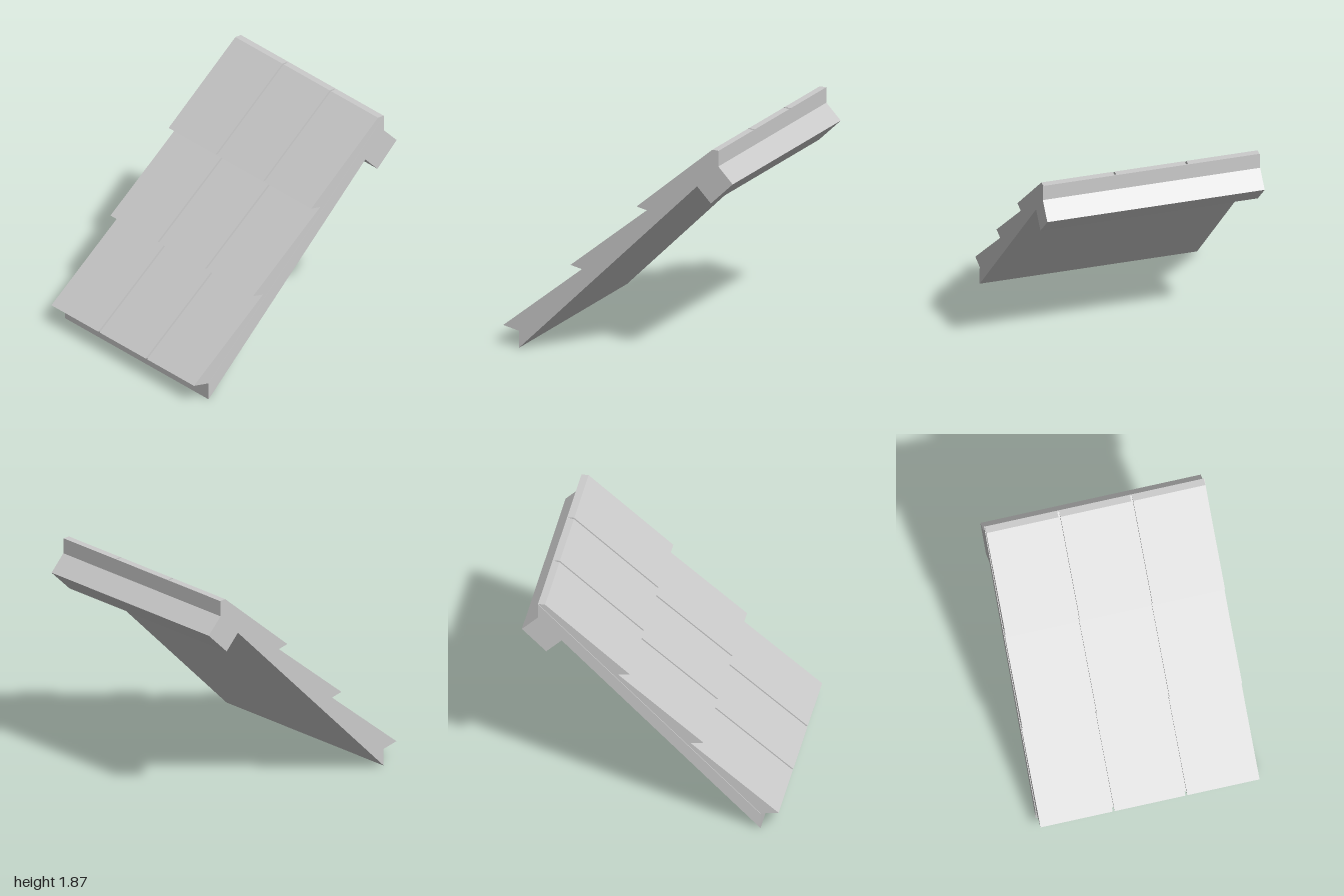
import * as THREE from 'three';

const material = new THREE.MeshStandardMaterial({ color: 0xcccccc, flatShading: true });

// Extrudes a side profile of [z, y] points across x, from x0 to x1.
function slab(name, profile, x0, x1) {
  const shape = new THREE.Shape(profile.map(([z, y]) => new THREE.Vector2(z, y)));
  const geometry = new THREE.ExtrudeGeometry(shape, { depth: x1 - x0, bevelEnabled: false });
  geometry.rotateY(-Math.PI / 2);
  geometry.translate(x1, 0, 0);
  const mesh = new THREE.Mesh(geometry, material);
  mesh.name = name;
  return mesh;
}

// Wedge resting on the 45 degree deck; inset pulls its lip back under the tile edge.
function wedge([z, y], end, inset) {
  const lip = [z - inset, y - 0.18 * inset];
  const foot = [z - 0.14, y - 0.025];
  return [lip, foot, ...end];
}

export function createModel() {
  const roof = new THREE.Group();
  roof.name = 'roofSection';

  // Sloping deck with the ridge beam hanging from its upper end
  roof.add(slab('deck', [
    [0.86, 0], [0.86, 0.135], [-0.875, 1.87], [-0.875, 1.745], [-0.69, 1.555],
  ], -0.865, 0.865));
  roof.add(slab('ridgeBeam', [
    [-0.875, 1.745], [-1, 1.62], [-0.81, 1.435], [-0.69, 1.555],
  ], -0.865, 0.865));

  // Three overlapping rows: lip position, upper end of tile, upper end of joint
  const rows = [
    { lip: [1, 0.16], tileEnd: [[0.08, 0.915]], jointEnd: [[0.22, 0.775]] },
    { lip: [0.415, 0.74], tileEnd: [[-0.505, 1.5]], jointEnd: [[-0.365, 1.36]] },
    {
      lip: [-0.16, 1.305],
      tileEnd: [[-0.875, 1.87], [-0.82, 1.87]],
      jointEnd: [[-0.875, 1.87], [-0.862, 1.868]],
    },
  ];
  const columns = [[-0.86, -0.293], [-0.278, 0.278], [0.293, 0.86]];

  for (const { lip, tileEnd, jointEnd } of rows) {
    for (const [x0, x1] of columns) {
      roof.add(slab('tile', wedge(lip, tileEnd, 0), x0, x1));
    }
    // Recessed joints between neighbouring tiles
    for (const x of [-0.2855, 0.2855]) {
      roof.add(slab('tileJoint', wedge(lip, jointEnd, 0.035), x - 0.0075, x + 0.0075));
    }
  }
  return roof;
}
